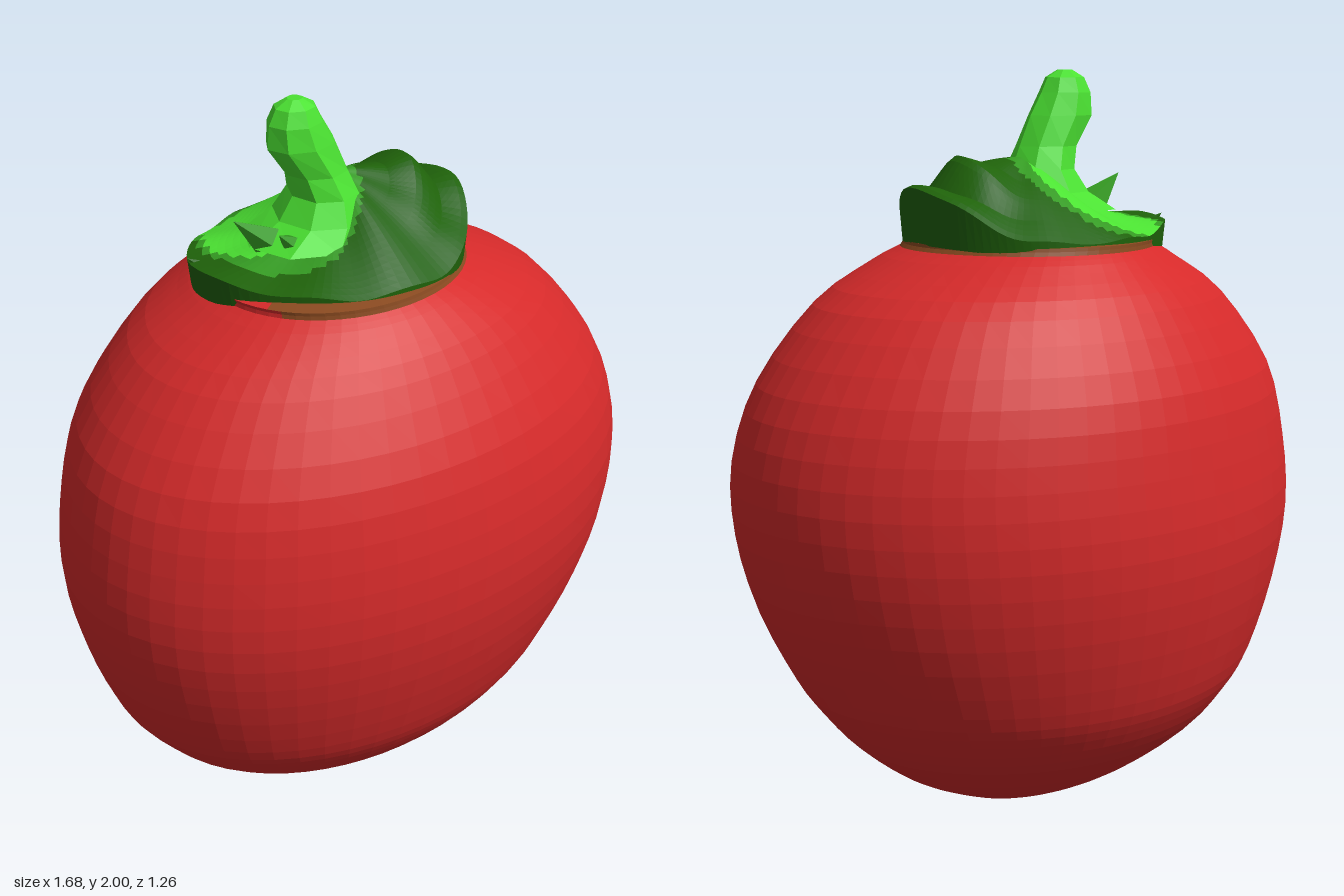
import * as THREE from 'three';

const material = (name, color) => {
  const m = new THREE.MeshStandardMaterial({ color });
  m.name = name;
  return m;
};

// Stack of closed rings from bottom to top, flat faceted.
// point(row, angle) gives a position; paint(centre) picks the material index.
function loft(name, rows, cols, point, materials, paint = () => 0) {
  const buckets = materials.map(() => []);
  const at = (r, c) => new THREE.Vector3(...point(r, (c % cols) / cols * Math.PI * 2));
  for (let r = 0; r < rows; r++) {
    for (let c = 0; c < cols; c++) {
      const a = at(r, c), b = at(r + 1, c), d = at(r + 1, c + 1), e = at(r, c + 1);
      const centre = a.clone().add(b).add(d).add(e).multiplyScalar(0.25);
      const bucket = buckets[paint(centre, r)];
      for (const p of [a, b, d, a, d, e]) bucket.push(p.x, p.y, p.z);
    }
  }
  const geometry = new THREE.BufferGeometry();
  geometry.setAttribute('position', new THREE.Float32BufferAttribute(buckets.flat(), 3));
  let start = 0;
  buckets.forEach((bucket, i) => {
    geometry.addGroup(start, bucket.length / 3, i);
    start += bucket.length / 3;
  });
  geometry.computeVertexNormals();
  const mesh = new THREE.Mesh(geometry, materials);
  mesh.name = name;
  return mesh;
}

export function createModel() {
  const red = material('fruit red', 0xd62a2a);
  const brown = material('rim brown', 0x8a4a20);
  const dark = material('dark leaf green', 0x1f620a);
  const mid = material('mid green', 0x349a22);
  const light = material('light stem green', 0x4be232);
  const group = new THREE.Group();

  // Fruit: y, right edge, left edge, front edge, back edge
  const profile = [
    [0, 0.05, 0.05, 0, 0], [0.008, -0.07, 0.16, 0.08, -0.08], [0.04, -0.22, 0.25, 0.17, -0.18],
    [0.1, -0.4, 0.38, 0.29, -0.29], [0.2, -0.57, 0.51, 0.41, -0.41], [0.3, -0.665, 0.6, 0.49, -0.49],
    [0.4, -0.73, 0.67, 0.54, -0.54], [0.6, -0.8, 0.77, 0.6, -0.6],
    [0.8, -0.835, 0.825, 0.63, -0.63], [1.0, -0.82, 0.83, 0.62, -0.62],
    [1.2, -0.76, 0.76, 0.57, -0.58], [1.4, -0.6, 0.6, 0.46, -0.48], [1.5, -0.45, 0.43, 0.38, -0.39],
    [1.54, -0.38, 0.34, 0.335, -0.345], [1.565, -0.35, 0.3, 0.3, -0.31], [1.57, 0, 0, 0, 0],
  ];
  const spline = (i, j) => new THREE.CatmullRomCurve3(
    profile.map(p => new THREE.Vector3(p[0], p[i], p[j])), false, 'catmullrom');
  const widths = spline(1, 2), depths = spline(3, 4);
  const bodyRows = (profile.length - 1) * 3;
  group.add(loft('fruitBody', bodyRows, 60, (r, a) => {
    const w = widths.getPoint(r / bodyRows), d = depths.getPoint(r / bodyRows);
    const c = Math.cos(a), s = Math.sin(a), half = (w.z - w.y) / 2;
    const skew = -0.06 * s * (1 - c) * half;
    return [(w.y + w.z) / 2 + half * c + skew, Math.max(0, w.x), (d.y + d.z) / 2 + (d.y - d.z) / 2 * s];
  }, [red, brown], p => (p.y > 1.54 && p.x > -0.32 ? 1 : 0)));

  // Leafy cap: short skirt, then a dome whose left end curls upward
  const capRows = 21;
  const square = v => Math.sign(v) * Math.abs(v) ** 0.87;
  group.add(loft('leafCap', capRows, 90, (r, a) => {
    const c = Math.cos(a), s = Math.sin(a);
    const k = r === 0 ? 1 : 1 - (r - 1) / (capRows - 1);
    const left = Math.max(0, c) ** 4, right = Math.max(0, -c) ** 4;
    const reach = 0.315 + 0.025 * left + 0.1 * right;
    const flare = r === 0 ? 0.97 : 1;
    const x = reach * square(c) * k * flare, z = -0.01 + 0.32 * square(s) * k;
    if (r === 0) return [x, 1.54 + 0.015 * left - 0.04 * right, z];
    const lift = 0.13 * left * k + 0.035 * right * k;
    const peak = 0.035 * left * Math.max(0, 1 - Math.abs(k - 0.6) * 5);
    const notch = 0.025 * left * Math.max(0, 1 - Math.abs(k - 0.8) * 7);
    const dip = 0.07 * Math.max(0, -c) * Math.sin(Math.PI * k);
    const crease = 0.005 * Math.sin(a * 9) * k;
    return [x, 1.77 - 0.2 * k ** 1.3 + lift + peak - notch - dip + crease, z];
  }, [dark, mid, light], (p, r) => {
    // light patch spreading down the back from the stem, with a darker fringe
    const inner = Math.hypot((p.x + 0.15) / 0.175, (p.z + 0.1) / 0.175);
    const outer = Math.hypot((p.x + 0.14) / 0.205, (p.z + 0.07) / 0.235);
    if (r === 0 || outer > 1) return 0;
    return inner > 1 ? 1 : 2;
  }));

  // Stem: y, centre x, radius in x, radius in z
  const stem = [
    [1.63, -0.1, 0.17, 0.16], [1.68, -0.06, 0.12, 0.13], [1.74, -0.05, 0.09, 0.1],
    [1.8, -0.07, 0.085, 0.08], [1.88, -0.115, 0.095, 0.075], [1.94, -0.13, 0.075, 0.065],
    [1.98, -0.13, 0.055, 0.05], [2, -0.13, 0.02, 0.02], [2, -0.13, 0, 0],
  ];
  group.add(loft('stem', stem.length - 1, 8, (r, a) => {
    const [y, x, rx, rz] = stem[r];
    return [x + rx * Math.cos(a), y, rz * Math.sin(a)];
  }, [light]));

  // Small curled leaf tips on the right of the stem: base, tip, radius
  const tips = [
    [[-0.2, 1.62, 0], [-0.32, 1.72, 0.01], 0.055, mid],
    [[-0.16, 1.62, 0.06], [-0.23, 1.685, 0.08], 0.045, mid],
    [[-0.34, 1.55, -0.05], [-0.41, 1.61, -0.07], 0.04, dark],
  ];
  tips.forEach(([base, tip, radius, colour]) => {
    const from = new THREE.Vector3(...base), dir = new THREE.Vector3(...tip).sub(from);
    const geometry = new THREE.ConeGeometry(radius, dir.length(), 5).toNonIndexed();
    geometry.computeVertexNormals();
    const mesh = new THREE.Mesh(geometry, colour);
    mesh.name = 'leafTip';
    mesh.position.copy(from).addScaledVector(dir, 0.5);
    mesh.quaternion.setFromUnitVectors(new THREE.Vector3(0, 1, 0), dir.normalize());
    group.add(mesh);
  });

  return group;
}
